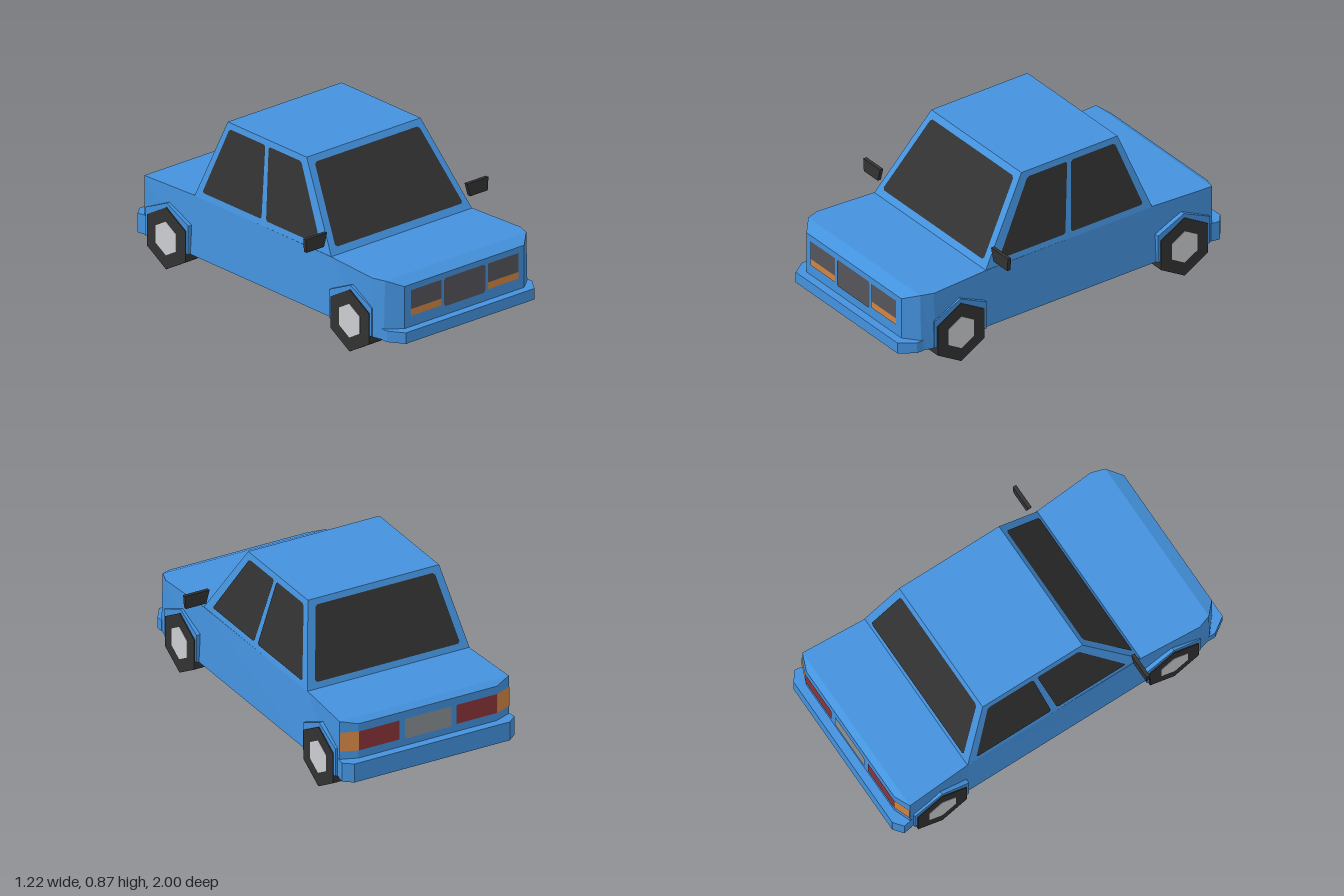
import * as THREE from 'three';

const mat = (name, color) => {
  const m = new THREE.MeshStandardMaterial({ color });
  m.name = name;
  return m;
};

// Flat-shaded geometry from a list of triangle corners
function facets(points) {
  const g = new THREE.BufferGeometry().setFromPoints(points);
  g.computeVertexNormals();
  return g;
}

// Closed solid through rings, each counter-clockwise seen from the far end
function loft(rings) {
  const out = [], n = rings[0].length, last = rings[rings.length - 1];
  for (let k = 0; k < rings.length - 1; k++) {
    const a = rings[k], b = rings[k + 1];
    for (let i = 0; i < n; i++) {
      const j = (i + 1) % n;
      out.push(a[i], a[j], b[j], a[i], b[j], b[i]);
    }
  }
  for (let i = 1; i < n - 1; i++) {
    out.push(last[0], last[i], last[i + 1]);
    out.push(rings[0][0], rings[0][i + 1], rings[0][i]);
  }
  return facets(out);
}

// Thin painted face with clipped corners, lifted off the bodywork
function panel(corners, clip = 0, lift = 0.004) {
  const c = corners.map(p => new THREE.Vector3(...p));
  const normal = c[1].clone().sub(c[0]).cross(c[2].clone().sub(c[0])).normalize();
  const centre = c.reduce((s, p) => s.add(p), new THREE.Vector3()).divideScalar(c.length);
  if (normal.dot(centre.sub(new THREE.Vector3(0, 0.4, 0))) < 0) {
    c.reverse();
    normal.negate();
  }
  let ring = c;
  if (clip) {
    ring = c.flatMap((p, i) => [c[(i + 3) % 4], c[(i + 1) % 4]].map(
      q => p.clone().addScaledVector(q.clone().sub(p).normalize(), clip)));
  }
  ring.forEach(p => p.addScaledVector(normal, lift));
  const out = [];
  for (let i = 1; i < ring.length - 1; i++) out.push(ring[0], ring[i], ring[i + 1]);
  return facets(out);
}

export function createModel() {
  const car = new THREE.Group();
  car.name = 'car';
  const blue = mat('blue paint', 0x4492de);
  const dark = mat('dark glass and rubber', 0x323232);
  const silver = mat('silver hub', 0xcbcdd0);
  const grey = mat('grey grille', 0x55555a);
  const plateGrey = mat('light grey plate', 0x8c9094);
  const orange = mat('orange lamp', 0xd08443);
  const red = mat('red lamp', 0x8a3539);

  const add = (name, geometry, material) => {
    const m = new THREE.Mesh(geometry, material);
    m.name = name;
    car.add(m);
    return m;
  };
  const V = (x, y, z) => new THREE.Vector3(x, y, z);

  // Lower body: z, half width at sill, half width at top, top height
  const sections = [
    [-0.955, 0.40, 0.40, 0.43], [-0.92, 0.49, 0.49, 0.45], [-0.56, 0.487, 0.468, 0.45],
    [0.48, 0.487, 0.472, 0.45], [0.82, 0.497, 0.495, 0.45], [0.89, 0.48, 0.472, 0.45],
    [0.955, 0.40, 0.40, 0.42],
  ];
  add('lowerBody', loft(sections.map(([z, b, t, y]) =>
    [V(-b, 0.13, z), V(b, 0.13, z), V(t, y, z), V(-t, y, z)])), blue);

  // Cabin
  const cabinRing = (x, y, front, back) =>
    [V(-x, y, front), V(x, y, front), V(x, y, back), V(-x, y, back)];
  add('cabin', loft([cabinRing(0.47, 0.449, 0.48, -0.56), cabinRing(0.38, 0.875, 0.19, -0.41)]), blue);

  // Bumpers, extruded upward from their plans
  const bumper = (name, plan, top) =>
    add(name, loft([0.13, top].map(y => plan.map(([x, z]) => V(x, y, z)))), blue);
  bumper('frontBumper', [[-0.43, 1], [0.43, 1], [0.485, 0.92], [0.485, 0.88], [-0.485, 0.88], [-0.485, 0.92]], 0.19);
  bumper('rearBumper', [[0.45, -1], [-0.45, -1], [-0.5, -0.96], [-0.492, -0.91], [0.492, -0.91], [0.5, -0.96]], 0.235);

  // Wheels and the flared arches over them
  const hexagon = (r, w) => {
    const g = new THREE.CylinderGeometry(r, r, w, 6, 1, false, Math.PI / 6).rotateZ(Math.PI / 2).toNonIndexed();
    g.computeVertexNormals();
    return g;
  };
  const tyre = hexagon(0.169, 0.116), hub = hexagon(0.092, 0.12);
  for (const [end, z] of [['front', 0.66], ['rear', -0.735]]) {
    const arch = [[0.163, 0.132], [-0.163, 0.132], [-0.163, 0.287], [0, 0.362], [0.163, 0.287]];
    add(end + 'Arches', loft([-0.502, 0.502].map(x => arch.map(([dz, y]) => V(x, y, z + dz)))), blue);
    for (const s of [-1, 1]) {
      const side = s > 0 ? 'Left' : 'Right';
      add(end + side + 'Tyre', tyre, dark).position.set(s * 0.449, 0.17, z);
      add(end + side + 'Hub', hub, silver).position.set(s * 0.449, 0.17, z);
    }
  }

  // Windscreen and rear window, set on the sloping cabin faces
  const slope = y => (y - 0.45) / 0.425;
  const frontZ = y => 0.48 - 0.29 * slope(y);
  const backZ = y => -0.56 + 0.15 * slope(y);
  const sideX = y => 0.47 - 0.09 * slope(y);
  const lo = 0.482, hi = 0.845;
  const screen = (zAt, b, t) => panel(
    [[-b, lo, zAt(lo)], [b, lo, zAt(lo)], [t, hi, zAt(hi)], [-t, hi, zAt(hi)]], 0.012);
  add('windscreen', screen(frontZ, 0.426, 0.348), dark);
  add('rearWindow', screen(backZ, 0.42, 0.345), dark);

  // Face on the front or rear panel
  const flat = (name, x0, x1, y0, y1, z, material, clip) =>
    add(name, panel([[x0, y0, z], [x1, y0, z], [x1, y1, z], [x0, y1, z]], clip), material);
  flat('grille', -0.137, 0.137, 0.238, 0.392, 0.955, grey, 0.01);
  flat('rearPlate', -0.135, 0.135, 0.275, 0.388, -0.955, plateGrey, 0.01);

  // Parts on both sides
  for (const s of [-1, 1]) {
    const side = s > 0 ? 'left' : 'right';
    const glass = (name, pts) =>
      add(side + name, panel(pts.map(([z, y]) => [s * sideX(y), y, z]), 0.01), dark);
    glass('FrontWindow', [[0.395, lo], [0.16, hi], [-0.088, hi], [-0.02, lo]]);
    glass('RearWindow', [[-0.055, lo], [-0.113, hi], [-0.385, hi], [-0.505, lo]]);

    flat(side + 'Headlight', s * 0.155, s * 0.36, 0.287, 0.39, 0.955, grey);
    flat(side + 'Indicator', s * 0.155, s * 0.36, 0.25, 0.287, 0.955, orange);
    flat(side + 'TailLight', s * 0.165, s * 0.4, 0.28, 0.388, -0.955, red);
    add(side + 'RearIndicator', panel([[s * 0.4, 0.28, -0.955], [s * 0.49, 0.28, -0.92],
      [s * 0.49, 0.388, -0.92], [s * 0.4, 0.388, -0.955]]), orange);

    // Door mirror
    const outline = [[0.488, 0.498], [0.605, 0.498], [0.61, 0.57], [0.468, 0.57]];
    const ring = z => {
      const r = outline.map(([x, y]) => V(s * x, y, z));
      return s > 0 ? r : r.reverse();
    };
    add(side + 'Mirror', loft([ring(0.425), ring(0.445)]), dark);
  }
  return car;
}
